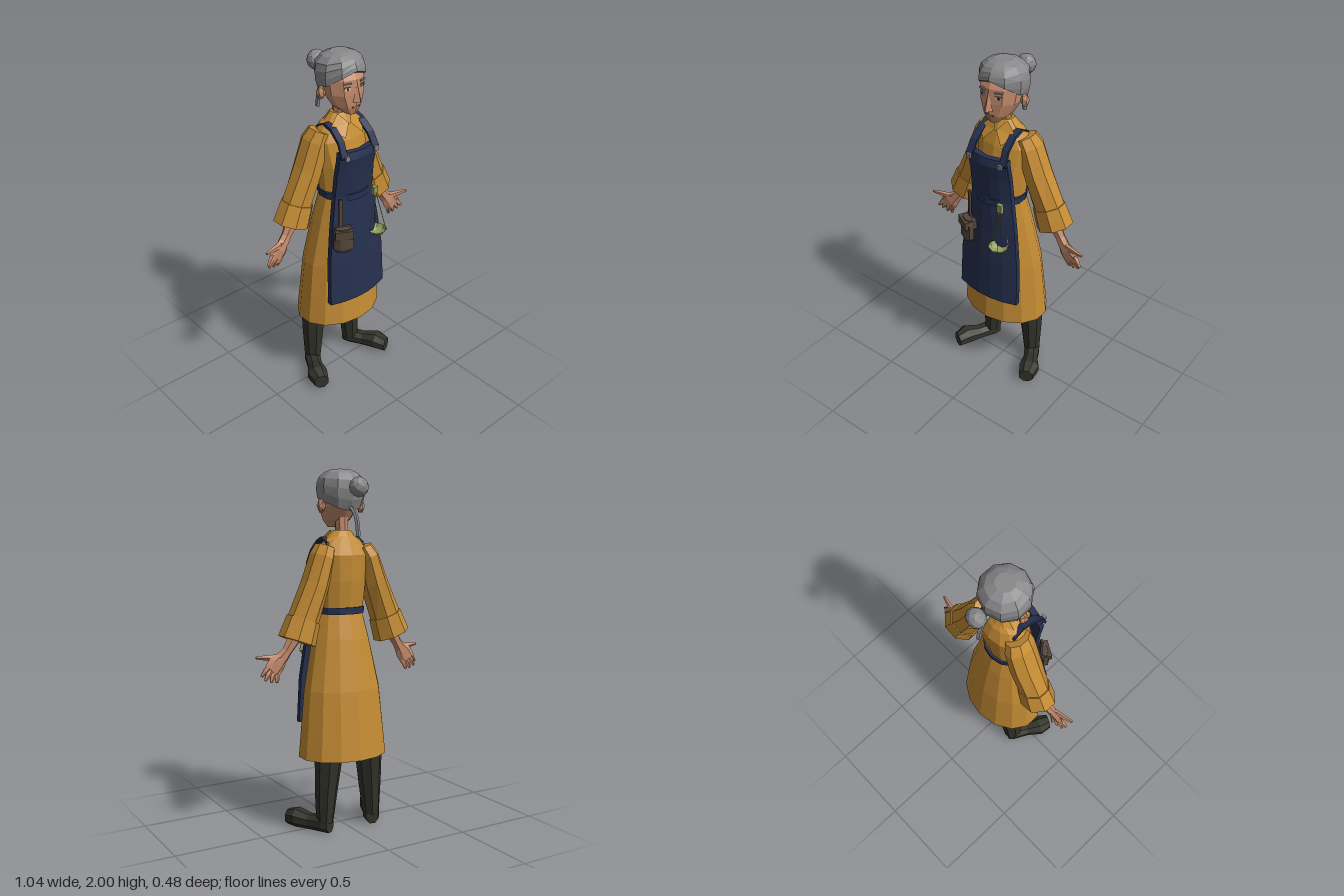
import * as THREE from 'three';

const flat = (name, color, side = THREE.FrontSide) => {
  const m = new THREE.MeshStandardMaterial({ color, flatShading: true, side });
  m.name = name;
  return m;
};

export function createModel() {
  const model = new THREE.Group();
  const gold = flat('ochre cloth', 0xc58c34, THREE.DoubleSide);
  const skin = flat('skin', 0xc68d6e);
  const grey = flat('grey hair', 0x88888a);
  const navy = flat('navy cloth', 0x26304f);
  const boot = flat('boot leather', 0x31332a);
  const leather = flat('pouch leather', 0x54453a);
  const brass = flat('green brass', 0x8f9c5c, THREE.DoubleSide);
  const white = flat('eye white', 0xd8cfc4);
  const dark = flat('pupil', 0x2a2420);
  const lip = flat('lip', 0x99614f);

  const V = (x, y, z) => new THREE.Vector3(x, y, z);
  const add = (name, geo, mat, pos = [0, 0, 0], parent = model) => {
    const m = new THREE.Mesh(geo, mat);
    m.name = name;
    m.position.set(...pos);
    parent.add(m);
    return m;
  };
  const box = (w, h, d) => new THREE.BoxGeometry(w, h, d);

  // Closed skin over loops of points, capped at both ends
  const loft = (rings) => {
    const out = [];
    const tri = (...p) => p.forEach((q) => out.push(q.x, q.y, q.z));
    const n = rings[0].length;
    const mid = (r) => r.reduce((s, p) => s.add(p), V(0, 0, 0)).divideScalar(n);
    const last = rings[rings.length - 1];
    const c0 = mid(rings[0]), c1 = mid(last);
    for (let i = 0; i < n; i++) {
      const j = (i + 1) % n;
      for (let k = 0; k < rings.length - 1; k++) {
        const a = rings[k], b = rings[k + 1];
        tri(a[i], a[j], b[j]);
        tri(a[i], b[j], b[i]);
      }
      tri(c0, rings[0][j], rings[0][i]);
      tri(c1, last[i], last[j]);
    }
    const g = new THREE.BufferGeometry();
    g.setAttribute('position', new THREE.Float32BufferAttribute(out, 3));
    g.computeVertexNormals();
    return g;
  };

  // Horizontal sections: [y, back z, front z, half width]
  const body = (secs, n) => loft(secs.map(([y, zb, zf, w]) =>
    Array.from({ length: n }, (_, i) => {
      const a = (i / n) * Math.PI * 2;
      return V(w * Math.sin(a), y, (zb + zf) / 2 + ((zf - zb) / 2) * Math.cos(a));
    })));

  // Slanted sections: [x, y, z, half width, half depth], mirrored by s
  const limb = (s, secs, n = 8, hint = V(0, 0, 1)) => {
    const c = secs.map(([x, y, z]) => V(x * s, y, z));
    const d = c[c.length - 1].clone().sub(c[0]).normalize();
    const side = d.clone().cross(hint).normalize();
    const up = side.clone().cross(d);
    const k = 1 / Math.cos(Math.PI / n);
    return loft(secs.map(([, , , w, h], q) => Array.from({ length: n }, (_, i) => {
      const a = ((i + 0.5) / n) * Math.PI * 2;
      return c[q].clone().addScaledVector(side, w * k * Math.sin(a)).addScaledVector(up, h * k * Math.cos(a));
    })));
  };

  // Dress
  add('dress', body([
    [0.42, -0.23, 0.175, 0.265], [0.8, -0.187, 0.148, 0.228], [1.08, -0.135, 0.132, 0.17],
    [1.22, -0.1, 0.122, 0.138], [1.4, -0.122, 0.12, 0.15], [1.54, -0.128, 0.085, 0.17],
    [1.62, -0.095, 0.052, 0.11], [1.65, -0.07, 0.03, 0.06]], 14), gold);

  // Collar with two front points
  add('collarBand', body([[1.62, -0.09, 0.065, 0.105], [1.675, -0.06, 0.03, 0.05]], 10), gold);
  for (const s of [1, -1]) {
    const p = [[0.005, 1.63, 0.07], [0.06, 1.57, 0.108], [0.112, 1.615, 0.045], [0.045, 1.678, 0.025]];
    const g = new THREE.BufferGeometry().setFromPoints(
      (s > 0 ? [0, 1, 2, 0, 2, 3] : [0, 2, 1, 0, 3, 2]).map((i) => V(p[i][0] * s, p[i][1], p[i][2])));
    g.computeVertexNormals();
    add('collarPoint', g, gold);
  }

  // Apron: [y, half width, centre z, edge z]
  const cols = [-1, -0.6, -0.2, 0.2, 0.6, 1];
  add('apron', loft([
    [0.59, 0.2, 0.187, 0.148], [0.85, 0.192, 0.175, 0.136], [1.05, 0.166, 0.158, 0.122],
    [1.24, 0.134, 0.148, 0.108], [1.38, 0.13, 0.163, 0.122], [1.47, 0.13, 0.177, 0.14],
    [1.51, 0.122, 0.166, 0.135]].map(([y, w, zc, ze]) => {
    const front = cols.map((t) => V(w * t, y, zc - (zc - ze) * t * t));
    return [...front, ...front.map((p) => V(p.x, y, p.z - 0.028)).reverse()];
  })), navy);
  add('belt', body([[1.218, -0.117, 0.162, 0.147], [1.255, -0.117, 0.162, 0.147]], 14), navy);

  for (const s of [1, -1]) {
    // Apron straps and buttons
    add('strap', limb(s, [[0.11, 1.485, 0.155, 0.02, 0.008], [0.102, 1.56, 0.118, 0.02, 0.008],
      [0.098, 1.612, 0.055, 0.02, 0.008], [0.1, 1.632, 0, 0.02, 0.008], [0.1, 1.6, -0.06, 0.02, 0.008]], 4), navy);
    add('button', box(0.026, 0.026, 0.012), grey, [s * 0.1, 1.487, 0.168]);

    // Sleeves
    add('sleeve', limb(s, [[0.115, 1.585, -0.035, 0.05, 0.065], [0.142, 1.53, -0.045, 0.06, 0.08],
      [0.19, 1.38, -0.05, 0.07, 0.082], [0.266, 1.19, -0.055, 0.082, 0.075]]), gold);
    add('cuff', limb(s, [[0.262, 1.2, -0.055, 0.088, 0.08], [0.304, 1.085, -0.058, 0.1, 0.088]]), gold);

    // Hands with spread fingers
    const hand = new THREE.Group();
    hand.name = 'hand';
    model.add(hand);
    add('forearm', limb(s, [[0.3, 1.12, -0.045, 0.035, 0.032], [0.355, 1.035, -0.04, 0.026, 0.022],
      [0.385, 0.995, -0.035, 0.032, 0.022]], 6), skin, [0, 0, 0], hand);
    add('palm', limb(s, [[0.37, 1.015, -0.035, 0.026, 0.018], [0.41, 0.97, -0.03, 0.045, 0.02],
      [0.44, 0.93, -0.03, 0.044, 0.015]], 6), skin, [0, 0, 0], hand);
    for (const [x0, y0, x1, y1, z1] of [[0.4, 1.0, 0.52, 1.005, 0], [0.455, 0.955, 0.5, 0.905, -0.02],
      [0.445, 0.94, 0.485, 0.883, -0.035], [0.425, 0.93, 0.452, 0.872, -0.04], [0.41, 0.93, 0.42, 0.868, -0.045]])
      add('finger', limb(s, [[x0, y0, -0.028, 0.016, 0.012],
        [(x0 + x1) / 2, (y0 + y1) / 2, (z1 - 0.028) / 2, 0.013, 0.011], [x1, y1, z1, 0.006, 0.006]], 5), skin, [0, 0, 0], hand);

    // Boots
    add('bootShaft', limb(s, [[0.128, 0.46, -0.095, 0.074, 0.075], [0.143, 0.25, -0.09, 0.06, 0.062],
      [0.153, 0.06, -0.088, 0.043, 0.052]]), boot);
    add('bootFoot', limb(s, [[0.14, 0.045, -0.125, 0.035, 0.045], [0.155, 0.047, -0.09, 0.046, 0.047],
      [0.2, 0.042, -0.01, 0.042, 0.042], [0.243, 0.052, 0.065, 0.058, 0.052],
      [0.265, 0.042, 0.13, 0.042, 0.042]], 8, V(0, 1, 0)), boot);

    // Ears and eyes
    add('ear', new THREE.IcosahedronGeometry(1, 0), skin, [s * 0.125, 1.805, -0.01]).scale.set(0.024, 0.042, 0.026);
    const eye = new THREE.Group();
    eye.name = 'eye';
    eye.position.set(s * 0.05, 1.838, 0.109);
    eye.rotation.y = s * 0.32;
    model.add(eye);
    add('eyeWhite', box(0.03, 0.012, 0.006), white, [0, 0, 0], eye);
    add('pupil', box(0.011, 0.012, 0.006), dark, [0, 0, 0.002], eye);
    add('eyelid', box(0.036, 0.004, 0.008), lip, [0, 0.008, 0], eye);
    add('brow', box(0.044, 0.007, 0.009), grey, [0, 0.027, 0], eye);
  }

  // Head
  add('neck', body([[1.6, -0.06, 0.03, 0.045], [1.68, -0.05, 0.02, 0.036], [1.76, -0.05, 0.03, 0.04]], 8), skin);
  add('face', body([[1.69, 0.04, 0.108, 0.032], [1.73, -0.04, 0.122, 0.076], [1.8, -0.088, 0.125, 0.112],
    [1.88, -0.11, 0.122, 0.12], [1.95, -0.08, 0.08, 0.09]], 10), skin);
  add('nose', new THREE.ConeGeometry(0.028, 0.1, 4), skin, [0, 1.815, 0.126]);
  add('mouth', box(0.05, 0.005, 0.008), lip, [0, 1.735, 0.117]);

  // Hair cap whose lower edge drops from the brow to the nape
  const hairline = [1.925, 1.895, 1.848, 1.82, 1.79, 1.775];
  add('hair', loft([0, 0.25, 0.5, 0.72, 0.9, 1].map((t) => Array.from({ length: 10 }, (_, i) => {
    const a = (i / 10) * Math.PI * 2;
    const low = hairline[Math.min(i, 10 - i)];
    const y = low + (2 - low) * t;
    const v = Math.abs(y - 1.9);
    const r = y < 1.9 ? 1 - (v / 0.25) ** 2 : Math.sqrt(1 - 0.86 * (v / 0.1) ** 2.6);
    return V(0.138 * r * Math.sin(a), y, -0.007 + 0.134 * r * Math.cos(a));
  }))), grey);
  add('bun', new THREE.IcosahedronGeometry(0.055, 1), grey, [0, 1.9, -0.193]).scale.z = 0.86;
  add('hairTail', new THREE.TubeGeometry(new THREE.CatmullRomCurve3(
    [V(0, 1.8, -0.085), V(0, 1.782, -0.135), V(0, 1.73, -0.17), V(0, 1.64, -0.188)]), 8, 0.013, 5), grey);

  // Belt pouch
  const pouch = new THREE.Group();
  pouch.name = 'pouch';
  pouch.position.set(-0.126, 1.01, 0.165);
  pouch.rotation.y = -0.5;
  model.add(pouch);
  add('pouchBag', limb(1, [[0, -0.072, 0, 0.04, 0.022], [0, -0.05, 0, 0.056, 0.032],
    [0, 0.04, 0, 0.054, 0.03], [0, 0.07, 0, 0.042, 0.02]]), leather, [0, 0, 0], pouch);
  add('pouchFlap', box(0.1, 0.05, 0.07), leather, [0, 0.04, 0], pouch);
  add('pouchStrap', box(0.02, 0.17, 0.012), leather, [-0.01, 0.15, -0.02], pouch);

  // Hanging weighing pan
  const top = V(0.1, 1.23, 0.172);
  add('scaleHook', box(0.03, 0.05, 0.024), brass, [0.1, 1.23, 0.165]);
  add('scalePan', new THREE.LatheGeometry([[0.001, 0], [0.028, 0.004], [0.046, 0.016], [0.058, 0.036]]
    .map(([x, y]) => new THREE.Vector2(x, y)), 8), brass, [0.104, 0.96, 0.184]);
  for (let i = 0; i < 3; i++) {
    const a = (i / 3) * Math.PI * 2 + 0.5;
    const rim = V(0.104 + 0.056 * Math.sin(a), 0.995, 0.184 + 0.056 * Math.cos(a));
    add('scaleChain', new THREE.TubeGeometry(new THREE.LineCurve3(top, rim), 1, 0.0025, 4), brass);
  }
  return model;
}
